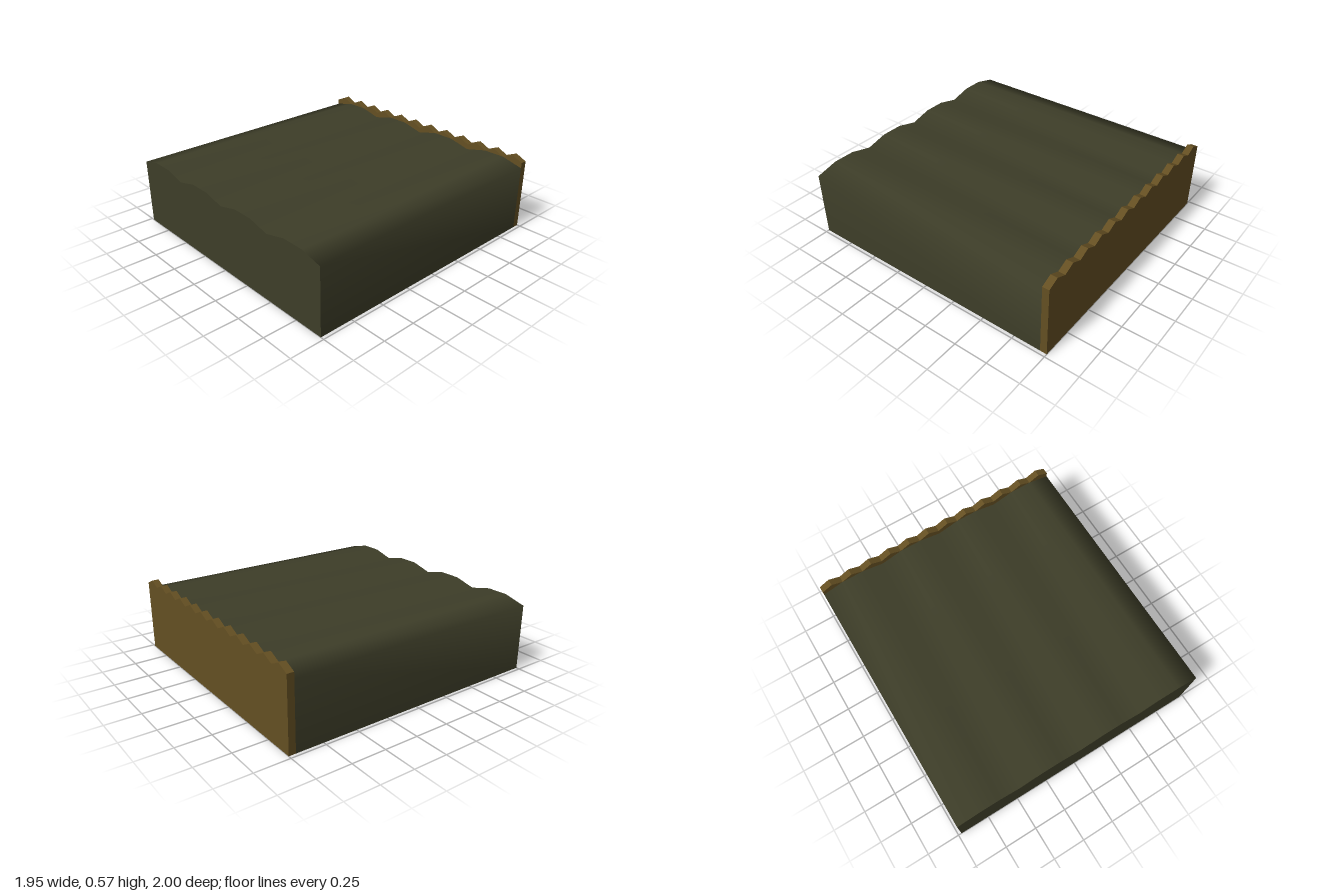
import * as THREE from 'three';

const HALF = 0.975, FRONT = 1, SEAM = -0.95, BACK = -1;

function toShape(points) {
  return new THREE.Shape(points.map(([x, y]) => new THREE.Vector2(x, y)));
}

// Skin swept along z over a profile, with normals blended across its bends
function sweptSkin(points, zFront, zBack) {
  const positions = [], index = [];
  points.forEach(([x, y], i) => {
    positions.push(x, y, zFront, x, y, zBack);
    if (i < points.length - 1) {
      const a = 2 * i;
      index.push(a, a + 2, a + 3, a, a + 3, a + 1);
    }
  });
  const geometry = new THREE.BufferGeometry();
  geometry.setAttribute('position', new THREE.Float32BufferAttribute(positions, 3));
  geometry.setIndex(index);
  geometry.computeVertexNormals();
  return geometry;
}

export function createModel() {
  const model = new THREE.Group();
  model.name = 'ridgedBlock';
  const green = new THREE.MeshStandardMaterial({ color: 0x3d3d28 });
  green.name = 'darkOlive';
  const brown = new THREE.MeshStandardMaterial({ color: 0x644f22 });
  brown.name = 'brown';

  function add(parent, name, geometry, material) {
    const mesh = new THREE.Mesh(geometry, material);
    mesh.name = name;
    parent.add(mesh);
    return mesh;
  }

  // Body: four shallow humps across the top
  const profile = [[-HALF, 0]];
  for (let i = 0; i <= 12; i++) {
    profile.push([-HALF + (i * HALF) / 6, i % 3 === 0 ? 0.49 : 0.53]);
  }
  profile.push([HALF, 0]);

  const body = new THREE.Group();
  body.name = 'body';
  model.add(body);
  add(body, 'topAndSides', sweptSkin(profile, FRONT, SEAM), green);
  add(body, 'frontFace', new THREE.ShapeGeometry(toShape(profile)), green).position.z = FRONT;
  const rear = add(body, 'rearFace', new THREE.ShapeGeometry(toShape(profile)).rotateY(Math.PI), green);
  rear.position.z = SEAM;
  const bottom = new THREE.PlaneGeometry(2 * HALF, FRONT - SEAM).rotateX(Math.PI / 2);
  add(body, 'bottom', bottom, green).position.z = (FRONT + SEAM) / 2;

  // Back board: twelve pointed teeth along the top edge
  const teeth = [[-HALF, 0]];
  for (let i = 0; i <= 24; i++) {
    teeth.push([-HALF + (i * HALF) / 12, i % 2 ? 0.567 : 0.53]);
  }
  teeth.push([HALF, 0]);
  const board = new THREE.ExtrudeGeometry(toShape(teeth), { depth: SEAM - BACK, bevelEnabled: false });
  add(model, 'backBoard', board, brown).position.z = BACK;

  return model;
}
